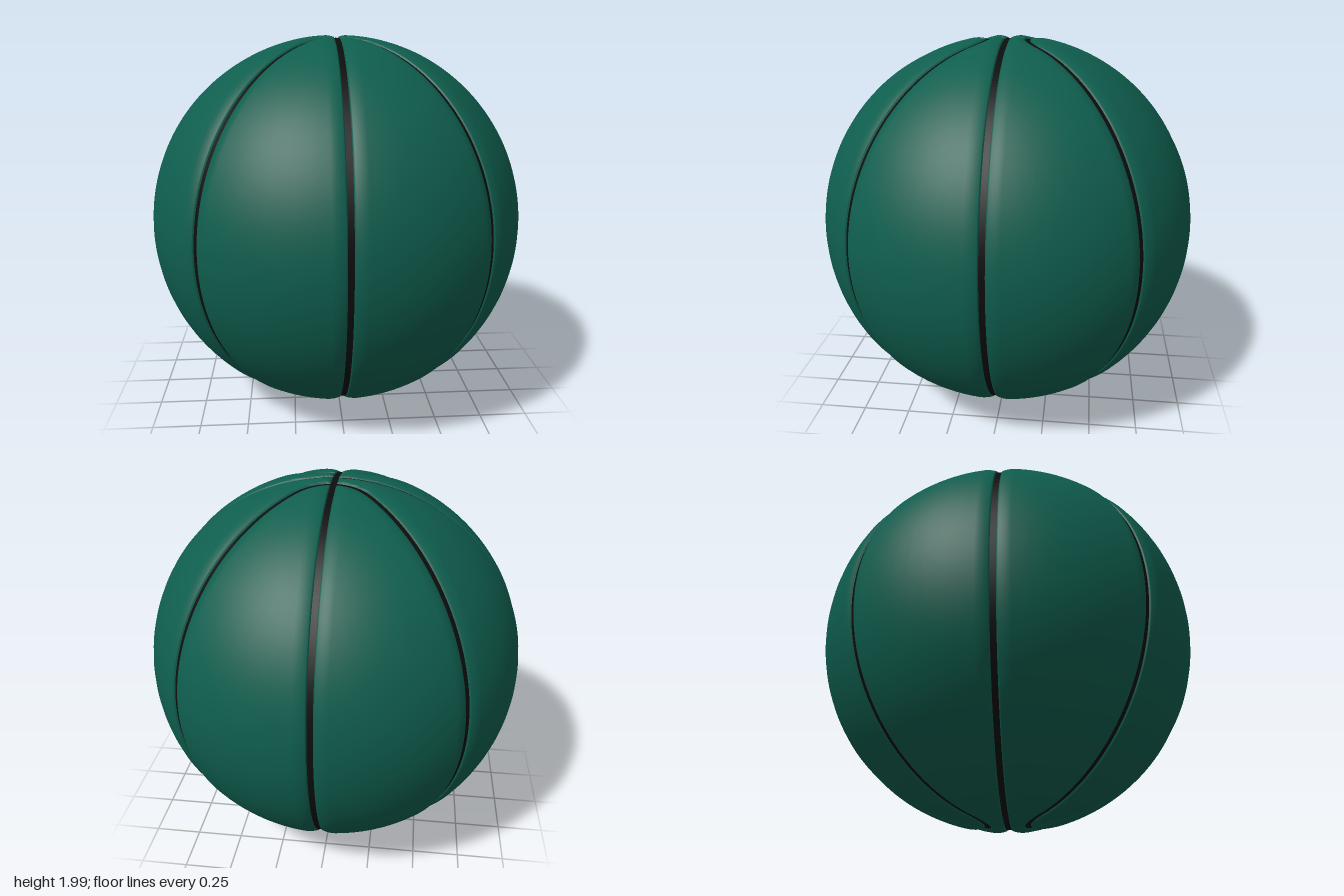
import * as THREE from 'three';

const R = 0.25, C = R * Math.SQRT2;      // rounded bend of the curved seams, seen from the pole
const TIP = Math.asin(C - R);            // polar angle where the bend starts
const FLOOR = 0.982, HALF = 0.02;        // seam ribbon radius and half width

// Surface radius: narrow groove with softly rounded shoulders along every seam
function surfaceRadius(p) {
  const a = Math.abs(p.x), b = Math.abs(p.z);
  const bend = p.y * p.y > 0.5 && a + b < C ? Math.hypot(a, C - b) - R : (a - b) / Math.SQRT2;
  const d = Math.min(a, b, Math.abs(bend));
  if (d < 0.012) return 0.972;
  if (d < 0.016) return 0.972 + (d - 0.012) * 4;
  const t = Math.max(0, 1 - (d - 0.016) / 0.064);
  return 1 - 0.012 * t * t;
}

// Longitude (from the z axis) of the curved seam at polar distance rho
function seamLongitude(rho) {
  if (rho <= C - R) return 0;
  if (rho >= R) return Math.PI / 4;
  return Math.acos(Math.min(1, (rho * rho + R * R) / (2 * rho * C)));
}

// Polar angles from top to bottom, dense near the poles where the seams bend
function polarAngles(start) {
  const half = [start];
  for (let f = 0.004; f < 0.32; f += 0.004) if (f > start + 0.0005) half.push(f);
  for (let i = 0; i < 44; i++) half.push(0.32 + (Math.PI / 2 - 0.32) * i / 44);
  return [...half, Math.PI / 2, ...half.map(f => Math.PI - f).reverse()];
}

// Angles across a panel, clustered beside its two seams
function across(t0, t1, rho) {
  const near = [0, 0.012, 0.016, 0.022, 0.03, 0.042, 0.06, 0.08];
  const width = (t1 - t0) * rho, k = Math.min(1, width / 0.2);
  const u = near.map(d => (width > 1e-6 ? d * k / width : 0));
  const last = u[7], mid = [];
  for (let i = 1; i < 8; i++) mid.push(last + (1 - 2 * last) * i / 8);
  return [...u, ...mid, ...u.map(v => 1 - v).reverse()].map(v => t0 + (t1 - t0) * v);
}

function panelGeometry(start, range, sx, sz) {
  const pos = [], index = [], rows = polarAngles(start);
  let n = 0;
  rows.forEach((f, i) => {
    const rho = Math.sin(f);
    const [t0, t1] = range(seamLongitude(rho));
    const cols = across(t0, t1, rho);
    n = cols.length;
    cols.forEach((t, j) => {
      const p = new THREE.Vector3(rho * Math.sin(t) * sx, Math.cos(f), rho * Math.cos(t) * sz);
      p.multiplyScalar(surfaceRadius(p));
      pos.push(p.x, p.y + 1, p.z);
      if (i && j) {
        const d = i * n + j, c = d - 1, b = d - n, a = b - 1;
        if (sx * sz > 0) index.push(a, c, b, b, c, d);
        else index.push(a, b, c, b, d, c);
      }
    });
  });
  const g = new THREE.BufferGeometry();
  g.setAttribute('position', new THREE.Float32BufferAttribute(pos, 3));
  g.setIndex(index);
  g.computeVertexNormals();
  return g;
}

// Closed ribbon that follows the curved seam around the +z or -z side
function curvedSeamGeometry(sz) {
  const quarter = [];
  for (let i = 0; i < 16; i++) {
    const w = Math.PI / 4 * i / 16;
    quarter.push([R * Math.sin(w), C - R * Math.cos(w)]);
  }
  const f0 = Math.asin(R);
  for (let i = 0; i <= 40; i++) {
    const s = Math.sin(f0 + (Math.PI / 2 - f0) * i / 40) / Math.SQRT2;
    quarter.push([s, s]);
  }
  const place = (sx, sy) => quarter.map(([a, b]) =>
    new THREE.Vector3(a * sx, sy * Math.sqrt(Math.max(0, 1 - a * a - b * b)), b * sz));
  const loop = [
    ...place(1, 1), ...place(1, -1).reverse().slice(1),
    ...place(-1, -1).slice(1), ...place(-1, 1).reverse().slice(1, -1),
  ];
  const pos = [], nor = [], index = [], n = loop.length;
  loop.forEach((p, i) => {
    const tangent = loop[(i + 1) % n].clone().sub(loop[(i + n - 1) % n]);
    const side = p.clone().cross(tangent).normalize();
    for (const s of [-1, 1]) {
      const q = p.clone().addScaledVector(side, s * HALF).normalize();
      nor.push(q.x, q.y, q.z);
      pos.push(q.x * FLOOR, q.y * FLOOR + 1, q.z * FLOOR);
    }
    const a = 2 * i, b = 2 * ((i + 1) % n);
    index.push(a, b, a + 1, a + 1, b, b + 1);
  });
  const g = new THREE.BufferGeometry();
  g.setAttribute('position', new THREE.Float32BufferAttribute(pos, 3));
  g.setAttribute('normal', new THREE.Float32BufferAttribute(nor, 3));
  g.setIndex(index);
  return g;
}

export function createModel() {
  const ball = new THREE.Group();
  ball.name = 'ball';
  const green = new THREE.MeshStandardMaterial({ color: 0x0f5e4e });
  green.name = 'green rubber';
  const black = new THREE.MeshStandardMaterial({ color: 0x0d0d0d, side: THREE.DoubleSide });
  black.name = 'black seam';
  const add = (name, geometry, material) => {
    const mesh = new THREE.Mesh(geometry, material);
    mesh.name = name;
    ball.add(mesh);
    return mesh;
  };

  // Eight rubber panels, two in each quarter
  for (const sx of [1, -1]) for (const sz of [1, -1]) {
    const where = (sz > 0 ? 'Front' : 'Back') + (sx > 0 ? 'Left' : 'Right');
    add('sidePanel' + where, panelGeometry(0, t => [t, Math.PI / 2], sx, sz), green);
    add('middlePanel' + where, panelGeometry(TIP, t => [0, t], sx, sz), green);
  }

  // Two straight seams around the ball
  const ring = new THREE.CylinderGeometry(FLOOR, FLOOR, HALF * 2, 192, 1, true);
  const lengthwise = add('lengthwiseSeam', ring, black);
  lengthwise.rotation.z = Math.PI / 2;
  const crosswise = add('crosswiseSeam', ring, black);
  crosswise.rotation.x = Math.PI / 2;
  lengthwise.position.y = crosswise.position.y = 1;

  // Two curved seams
  add('curvedSeamFront', curvedSeamGeometry(1), black);
  add('curvedSeamBack', curvedSeamGeometry(-1), black);
  return ball;
}
